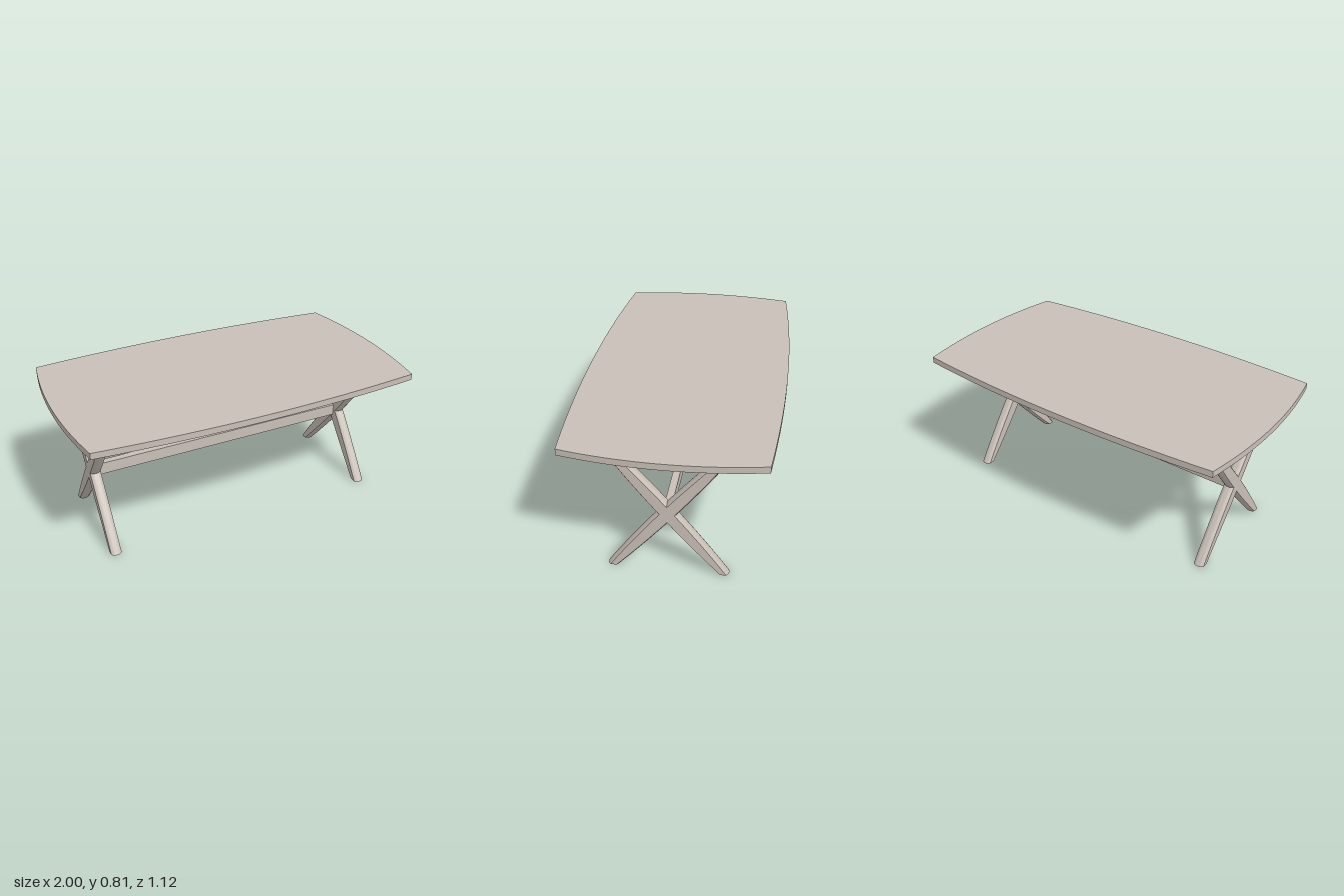
import * as THREE from 'three';
import { toCreasedNormals } from 'three/addons/utils/BufferGeometryUtils.js';

const wood = new THREE.MeshStandardMaterial({ color: 0xc9c0b7 });
wood.name = 'pale wood';

const LEG_HEIGHT = 0.755;
const LEG_X = 0.81;

function part(name, geometry, x = 0, y = 0, z = 0) {
  const mesh = new THREE.Mesh(geometry, wood);
  mesh.name = name;
  mesh.position.set(x, y, z);
  return mesh;
}

// Barrel-shaped slab: four bowed edges meeting at sharp corners
function topGeometry() {
  const s = new THREE.Shape();
  s.moveTo(-0.95, -0.513);
  s.quadraticCurveTo(0, -0.609, 0.95, -0.513);
  s.quadraticCurveTo(1.05, 0, 0.95, 0.513);
  s.quadraticCurveTo(0, 0.609, -0.95, 0.513);
  s.quadraticCurveTo(-1.05, 0, -0.95, -0.513);
  const g = new THREE.ExtrudeGeometry(s, { depth: 0.036, bevelEnabled: false, curveSegments: 16 });
  g.rotateX(-Math.PI / 2);
  return toCreasedNormals(g, 0.4);
}

// Slanted leg: flat sides, rounded front and back, thickest at the middle
function legGeometry(direction) {
  const base = 0.04;
  const half = [[0.03, 0.015], [0.02, 0.006], [0.01, 0.001], [-0.01, 0.001], [-0.02, 0.006], [-0.03, 0.015]];
  const points = [
    ...half.map(([x, d]) => new THREE.Vector2(x, base - d)),
    ...half.map(([x, d]) => new THREE.Vector2(-x, d - base)),
  ];
  const g = new THREE.ExtrudeGeometry(new THREE.Shape(points), { depth: LEG_HEIGHT, steps: 16, bevelEnabled: false });
  g.rotateX(-Math.PI / 2);
  const p = g.attributes.position;
  for (let i = 0; i < p.count; i++) {
    const u = (p.getY(i) / LEG_HEIGHT) * 2 - 1;
    const halfWidth = 0.0315 + 0.0225 * (1 - u * u);
    const z = p.getZ(i);
    p.setZ(i, z + Math.sign(z) * (halfWidth - base) + direction * 0.298 * u);
  }
  return toCreasedNormals(g, 0.5);
}

export function createModel() {
  const table = new THREE.Group();
  table.name = 'table';
  table.add(part('tableTop', topGeometry(), 0, 0.778, 0));

  // Crossed leg frames with a cleat under the top
  for (const side of [1, -1]) {
    const frame = new THREE.Group();
    frame.name = side > 0 ? 'leftLegFrame' : 'rightLegFrame';
    frame.position.x = side * LEG_X;
    frame.add(
      part('forwardLeg', legGeometry(1)),
      part('backwardLeg', legGeometry(-1)),
      part('cleat', new THREE.BoxGeometry(0.124, 0.026, 0.9), 0, 0.766, 0),
    );
    table.add(frame);
  }

  // Long rail joining the two crossings
  table.add(part('stretcher', new THREE.BoxGeometry(1.58, 0.07, 0.04), 0, 0.376, 0));
  return table;
}
